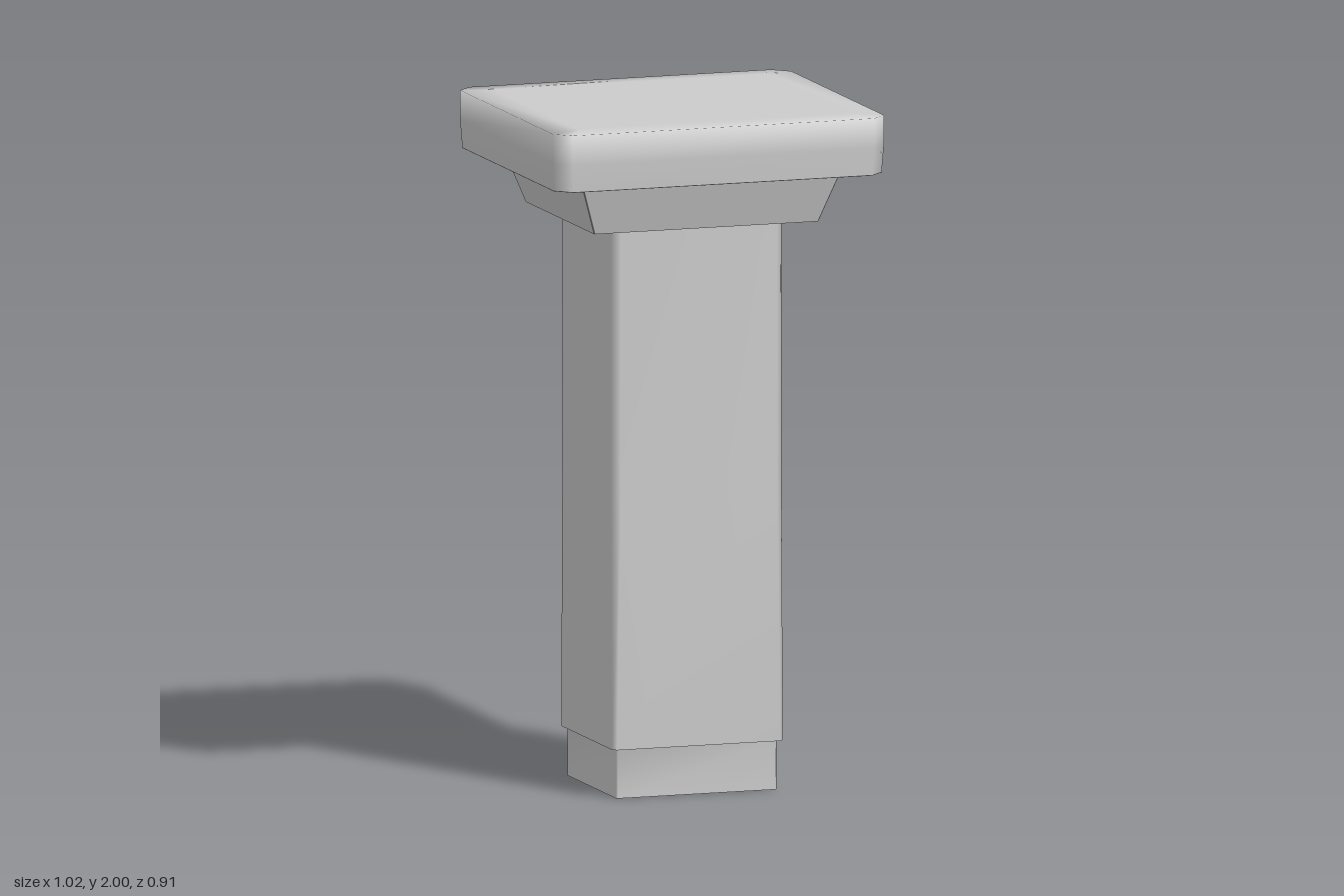
import * as THREE from 'three';

// Rectangle with cut corners, counter-clockwise seen from above.
function ring([hx, hz, cut, y]) {
  const corners = [
    [hx, hz - cut], [hx - cut, hz], [-hx + cut, hz], [-hx, hz - cut],
    [-hx, -hz + cut], [-hx + cut, -hz], [hx - cut, -hz], [hx, -hz + cut],
  ];
  return corners.map(([x, z]) => [x, y, z]);
}

// Skin over rings [halfX, halfZ, cornerCut, y] listed from bottom to top.
function loft(rings, closeBottom, closeTop) {
  const n = 8;
  const positions = rings.flatMap(ring).flat();
  const index = [];
  for (let r = 0; r < rings.length - 1; r++) {
    for (let i = 0; i < n; i++) {
      const a = r * n + i;
      const b = r * n + (i + 1) % n;
      index.push(a, a + n, b, b, a + n, b + n);
    }
  }
  const last = (rings.length - 1) * n;
  for (let i = 1; i < n - 1; i++) {
    if (closeBottom) index.push(0, i, i + 1);
    if (closeTop) index.push(last, last + i + 1, last + i);
  }
  const geometry = new THREE.BufferGeometry();
  geometry.setAttribute('position', new THREE.Float32BufferAttribute(positions, 3));
  geometry.setIndex(index);
  geometry.computeVertexNormals();
  return geometry;
}

export function createModel() {
  const group = new THREE.Group();
  const smooth = new THREE.MeshStandardMaterial({ color: 0xcccccc, side: THREE.DoubleSide });
  const flat = new THREE.MeshStandardMaterial({ color: 0xcccccc, side: THREE.DoubleSide, flatShading: true });

  const add = (name, geometry, material) => {
    const mesh = new THREE.Mesh(geometry, material);
    mesh.name = name;
    group.add(mesh);
  };

  // Hollow shaft stepping in to a narrower open foot
  add('shaft', loft([
    [0.246, 0.217, 0.004, 0],
    [0.246, 0.217, 0.004, 0.145],
    [0.262, 0.235, 0.012, 0.145],
    [0.262, 0.235, 0.022, 0.92],
    [0.262, 0.235, 0.022, 1.68],
  ], false, false), smooth);

  // Flared collar under the cap
  add('collar', loft([
    [0.344, 0.302, 0.002, 1.677],
    [0.397, 0.349, 0.002, 1.828],
  ], true, false), flat);

  // Flat underside of the cap
  add('capUnderside', loft([
    [0.503, 0.447, 0.045, 1.828],
    [0.504, 0.448, 0.045, 1.829],
  ], true, false), flat);

  // Cap slab with cut corners and softly shaded rim
  add('cap', loft([
    [0.503, 0.447, 0.045, 1.828],
    [0.508, 0.453, 0.045, 1.91],
    [0.508, 0.453, 0.045, 1.997],
    [0.42, 0.37, 0.008, 2],
  ], false, true), smooth);

  return group;
}
